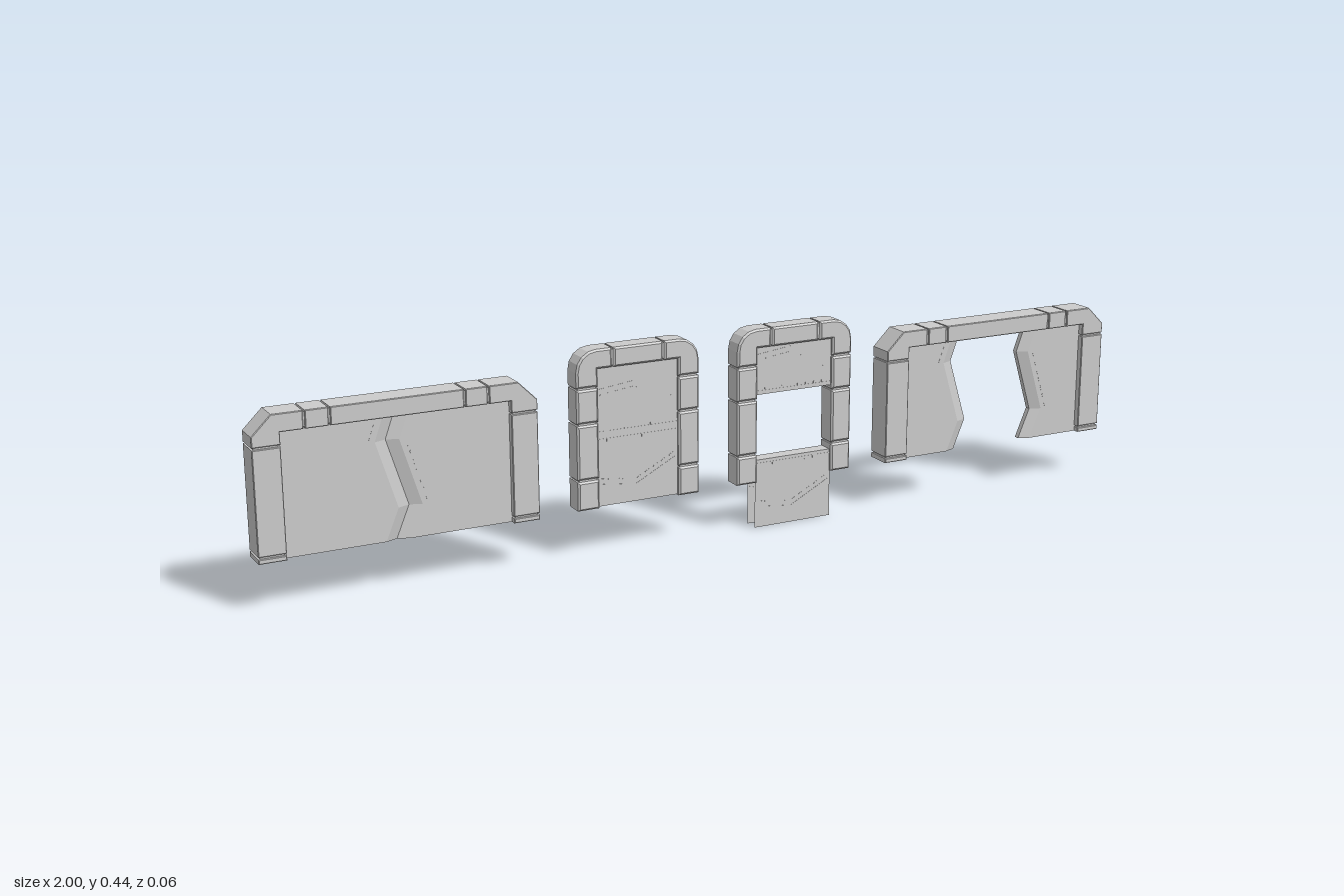
import * as THREE from 'three';

const BASE = 0.103;
const material = new THREE.MeshStandardMaterial({ color: 0xcccccc, flatShading: true, side: THREE.DoubleSide });

function add(parent, name, geometry) {
  const mesh = new THREE.Mesh(geometry, material);
  mesh.name = name;
  parent.add(mesh);
  return mesh;
}

function block(parent, name, x0, x1, y0, y1, z0, z1) {
  const g = new THREE.BoxGeometry(x1 - x0, y1 - y0, z1 - z0);
  return add(parent, name, g.translate((x0 + x1) / 2, (y0 + y1) / 2, (z0 + z1) / 2));
}

// Outline extruded symmetrically in z, with a small chamfer kept inside the outline
function slab(parent, name, pts, half, bevel) {
  const shape = new THREE.Shape(pts.map(p => new THREE.Vector2(p[0], p[1])));
  const g = new THREE.ExtrudeGeometry(shape, {
    depth: 2 * (half - bevel), bevelEnabled: bevel > 0, bevelThickness: bevel,
    bevelSize: bevel, bevelOffset: -bevel, bevelSegments: 1
  });
  return add(parent, name, g.translate(0, 0, -(half - bevel)));
}

const rect = (x0, x1, y0, y1) => [[x0, y0], [x1, y0], [x1, y1], [x0, y1]];

// Segmented arch: blocks around a slightly thinner core that shows in the seams
function frame(o) {
  const g = new THREE.Group();
  g.name = 'doorFrame';
  const { w, inner, top, under, half, bevel, posts, seams, corner } = o;
  const gap = 0.004, i = 0.004;
  const lastPost = posts[posts.length - 1];

  for (const s of [1, -1]) {
    const m = pts => pts.map(([x, y]) => [s * x, y]);
    slab(g, 'postCore', m(rect(inner + i, w - i, BASE + 0.002, lastPost + 0.02)), half - i, 0);
    let y = BASE;
    for (const end of posts) {
      slab(g, 'postBlock', m(rect(inner, w, y, end)), half, bevel);
      y = end + gap;
    }
    slab(g, 'cornerBlock', m([[inner, y], [w, y], ...corner, [seams[0], top], [seams[0], under], [inner, under]]), half, bevel);
    for (let k = 0; k + 1 < seams.length; k++) {
      slab(g, 'headerBlock', m(rect(seams[k + 1], seams[k] - gap, under, top)), half, bevel);
    }
  }
  const c = seams[seams.length - 1] - gap;
  slab(g, 'headerCentre', rect(-c, c, under, top), half, bevel);
  const r = seams[0] + 0.01;
  slab(g, 'headerCore', rect(-r, r, under + i, top - i), half - i, 0);
  return g;
}

// Zigzag edge shared by both leaves of the wide door: [x, y]
const ZIGZAG = [[-0.006, BASE], [0.022, 0.17], [-0.021, 0.31], [0.0, 0.368]];

// One leaf of the wide door: a cross-section lofted up the zigzag
function wideLeaf(side, shift) {
  const g = new THREE.Group();
  g.name = side < 0 ? 'rightLeaf' : 'leftLeaf';
  const outer = side * 0.27, t = 0.016, e = 0.006, slope = 0.025;
  const pos = [], idx = [];
  for (const [zx, y] of ZIGZAG) {
    const x = zx + shift, back = x + side * slope;
    pos.push(outer, y, t, back, y, t, x, y, e, x, y, -e, back, y, -t, outer, y, -t);
  }
  const tri = (a, b, c) => (side < 0 ? idx.push(a, b, c) : idx.push(a, c, b));
  for (let r = 0; r < 3; r++) {
    for (let k = 0; k < 6; k++) {
      const a = r * 6 + k, b = r * 6 + (k + 1) % 6;
      tri(a, b, b + 6);
      tri(a, b + 6, a + 6);
    }
  }
  for (let k = 1; k < 5; k++) {
    tri(0, k + 1, k);
    tri(18, 18 + k, 19 + k);
  }
  const geo = new THREE.BufferGeometry();
  geo.setAttribute('position', new THREE.Float32BufferAttribute(pos, 3));
  geo.setIndex(idx);
  geo.computeVertexNormals();
  add(g, 'leafPanel', geo);

  // Row of small dashes beside the zigzag, on both faces
  for (const z of [t, -t]) {
    const off = shift + side * 0.038;
    const [a, b] = side < 0 ? [ZIGZAG[2], ZIGZAG[3]] : [ZIGZAG[1], ZIGZAG[2]];
    dashes(g, [a[0] + off, a[1]], [b[0] + off, b[1]], z, side < 0 ? 4 : 7);
  }
  return g;
}

// Thin raised strip between two points on a face
function strip(parent, name, a, b, z) {
  const dx = b[0] - a[0], dy = b[1] - a[1];
  const mesh = add(parent, name, new THREE.BoxGeometry(Math.hypot(dx, dy), 0.002, 0.001));
  mesh.position.set((a[0] + b[0]) / 2, (a[1] + b[1]) / 2, z);
  mesh.rotation.z = Math.atan2(dy, dx);
}

function dashes(parent, a, b, z, n) {
  const at = t => [a[0] + (b[0] - a[0]) * t, a[1] + (b[1] - a[1]) * t];
  for (let k = 0; k < n; k++) strip(parent, 'dash', at((k + 0.15) / n), at((k + 0.7) / n), z);
}

// Hollow leaf of the narrow door: two sheets, a closed meeting edge and trim lines
function narrowLeaf(name, y0, y1, upper) {
  const g = new THREE.Group();
  g.name = name;
  const w = 0.0935, t = 0.016, h = y1 - y0;
  const meet = upper ? y0 : y1, dir = upper ? 1 : -1;
  const far = meet + dir * h;
  for (const turn of [0, Math.PI]) {
    const face = new THREE.Group();
    face.name = turn ? 'backFace' : 'frontFace';
    face.rotation.y = turn;
    add(face, 'sheet', new THREE.PlaneGeometry(2 * w, h).translate(0, (y0 + y1) / 2, t));
    const line = [[-0.088, 0.047], [-0.005, 0.037], [0.03, 0.055], [0.088, 0.085]]
      .map(([x, d]) => [x, far - dir * d]);
    for (let k = 0; k < 3; k++) strip(face, 'trimLine', line[k], line[k + 1], t);
    const raise = ([x, y]) => [x, y - dir * 0.012];
    dashes(face, raise(line[0]), raise(line[1]), t, 5);
    dashes(face, raise(line[1]), raise(line[3]), t, 5);
    strip(face, 'edgeLine', [-w, meet + dir * 0.008], [w, meet + dir * 0.008], t);
    for (let k = 0; k < 8; k++) {
      const x = -0.07 + k * 0.02;
      strip(face, 'edgeTick', [x, meet + dir * 0.008], [x, meet + dir * 0.014], t);
    }
    g.add(face);
  }
  add(g, 'meetingEdge', new THREE.PlaneGeometry(2 * w, 2 * t).rotateX(-Math.PI / 2).translate(0, meet, 0));
  return g;
}

function wideDoor(name, x, slide) {
  const g = new THREE.Group();
  g.name = name;
  g.position.x = x;
  g.add(frame({
    w: 0.2925, inner: 0.236, top: 0.397, under: 0.36, half: 0.03, bevel: 0.0015,
    posts: [0.113, 0.331], seams: [0.19, 0.14],
    corner: [[0.2925, 0.357], [0.252, 0.397]]
  }));
  g.add(wideLeaf(-1, -slide), wideLeaf(1, slide));
  return g;
}

function narrowDoor(name, x, open) {
  const g = new THREE.Group();
  g.name = name;
  g.position.x = x;
  const r = 0.045, corner = [];
  for (let k = 0; k <= 4; k++) {
    const a = k * Math.PI / 8;
    corner.push([0.14 - r + r * Math.cos(a), 0.442 - r + r * Math.sin(a)]);
  }
  g.add(frame({
    w: 0.14, inner: 0.092, top: 0.442, under: 0.401, half: 0.024, bevel: 0.004,
    posts: [0.165, 0.285, 0.36], seams: [0.06], corner
  }));
  const up = open ? 0.04 : 0, down = open ? 0.105 : 0;
  g.add(narrowLeaf('upperLeaf', 0.257 + up, 0.402 + up * 0.75, true));
  g.add(narrowLeaf('lowerLeaf', 0.105 - down, 0.257 - down, false));
  return g;
}

export function createModel() {
  const model = new THREE.Group();
  model.name = 'slidingDoorSet';
  model.add(
    wideDoor('wideDoorClosed', -0.7075, 0),
    narrowDoor('narrowDoorClosed', -0.186, false),
    narrowDoor('narrowDoorOpen', 0.186, true),
    wideDoor('wideDoorOpen', 0.7075, 0.09)
  );
  return model;
}
